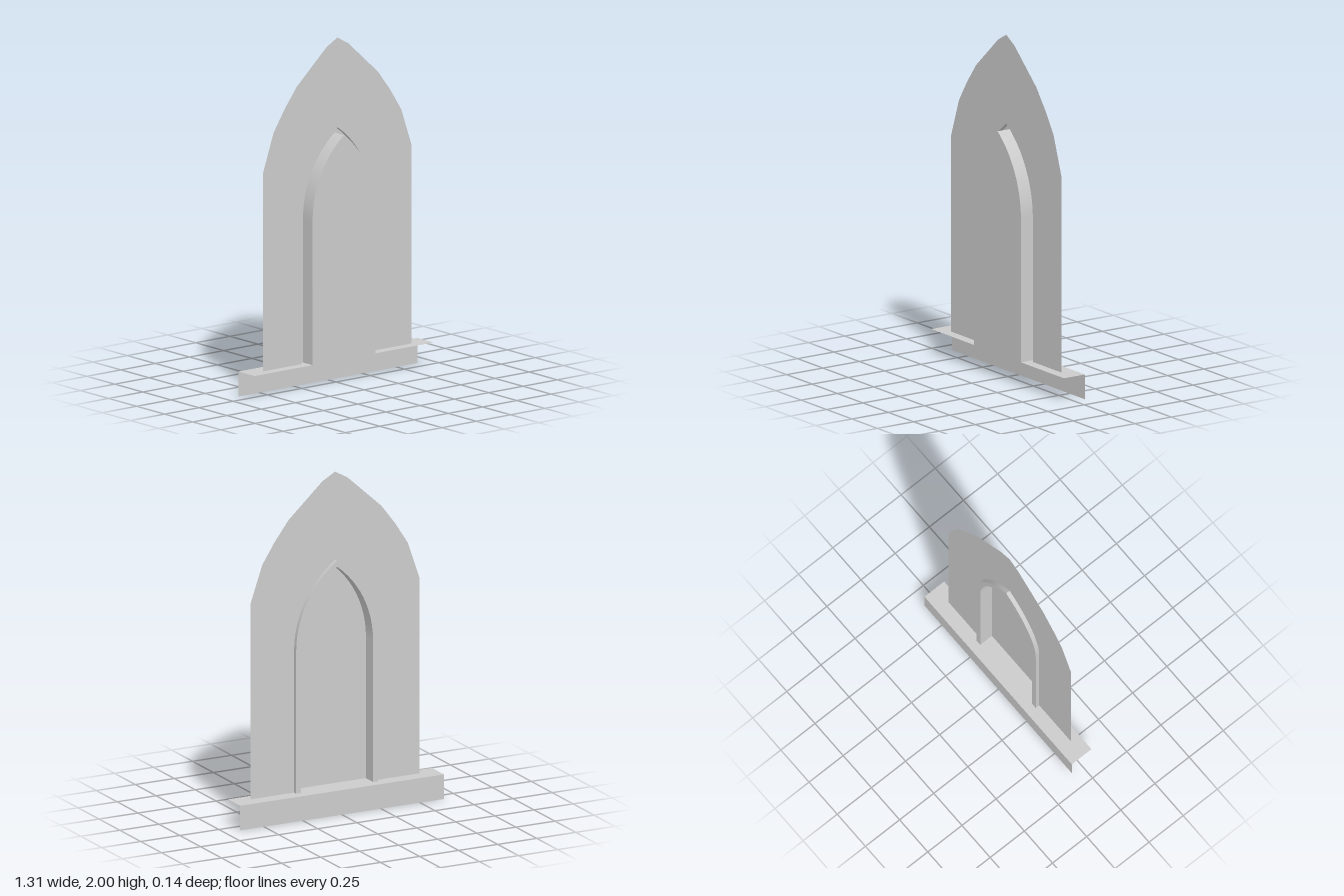
import * as THREE from 'three';

const FLOOR = 0.145, SPRING = 0.98;
const Z_PANEL = 0.012, Z_FRAME = -0.013, Z_DOOR = 0.072;
const material = new THREE.MeshStandardMaterial({ color: 0xcccccc, side: THREE.DoubleSide });

// Right half of a pointed arch, from its foot up to the apex
function halfArch(halfWidth, apex, steps = 12) {
  const h = apex - SPRING;
  const r = (h * h + halfWidth * halfWidth) / (2 * halfWidth);
  const end = Math.asin(h / r);
  const points = [new THREE.Vector2(halfWidth, FLOOR)];
  for (let i = 0; i <= steps; i++) {
    const a = (end * i) / steps;
    points.push(new THREE.Vector2(halfWidth - r + r * Math.cos(a), SPRING + r * Math.sin(a)));
  }
  points[points.length - 1].x = 0;
  return points;
}

// Full outline: right foot, apex, left foot
function mirrored(half) {
  const left = half.slice(0, -1).reverse().map((p) => new THREE.Vector2(-p.x, p.y));
  return [...half, ...left];
}

function add(group, name, geometry) {
  const mesh = new THREE.Mesh(geometry, material);
  mesh.name = name;
  group.add(mesh);
  return mesh;
}

// Flat sheet bounded by an outline and, optionally, an inner arch open at the foot
function sheet(group, name, outer, inner, z) {
  const outline = inner ? [...outer, ...[...inner].reverse()] : outer;
  add(group, name, new THREE.ShapeGeometry(new THREE.Shape(outline))).position.z = z;
}

// Wall following half an arch between two depths
function wall(group, name, half, side, z0, z1) {
  const positions = [], index = [];
  half.forEach((p, i) => {
    positions.push(side * p.x, p.y, z0, side * p.x, p.y, z1);
    if (i === 0) return;
    const a = 2 * i - 2;
    if (side > 0) index.push(a, a + 2, a + 1, a + 1, a + 2, a + 3);
    else index.push(a, a + 1, a + 2, a + 1, a + 3, a + 2);
  });
  const geometry = new THREE.BufferGeometry();
  geometry.setAttribute('position', new THREE.Float32BufferAttribute(positions, 3));
  geometry.setIndex(index);
  geometry.computeVertexNormals();
  add(group, name, geometry);
}

export function createModel() {
  const group = new THREE.Group();
  group.name = 'archedWindow';

  const frameHalf = halfArch(0.262, 1.48);
  const doorHalf = halfArch(0.23, 1.445);
  const panelHalf = [
    [0.542, FLOOR], [0.542, 1.295], [0.466, 1.515], [0.386, 1.64],
    [0.297, 1.757], [0.08, 1.955], [0, 2],
  ].map(([x, y]) => new THREE.Vector2(x, y));

  // Flat surround, raised back rim and the projecting centre face
  sheet(group, 'surroundPanel', mirrored(panelHalf), mirrored(frameHalf), Z_PANEL);
  sheet(group, 'archRim', mirrored(frameHalf), mirrored(doorHalf), Z_FRAME);
  sheet(group, 'archFace', mirrored(doorHalf), null, Z_DOOR);

  // Side walls joining the three sheets
  for (const side of [1, -1]) {
    const label = side > 0 ? 'left' : 'right';
    wall(group, label + 'RimWall', frameHalf, side, Z_FRAME, Z_PANEL);
    wall(group, label + 'ArchWall', doorHalf, side, Z_FRAME, Z_DOOR);
  }

  // Sill: a ledge with an upright plate along its back edge
  const ledge = add(group, 'sillLedge', new THREE.PlaneGeometry(1.306, 0.144));
  ledge.rotation.x = -Math.PI / 2;
  ledge.position.y = FLOOR;
  const plate = add(group, 'sillPlate', new THREE.PlaneGeometry(1.306, FLOOR));
  plate.rotation.y = Math.PI;
  plate.position.set(0, FLOOR / 2, -0.072);

  return group;
}
